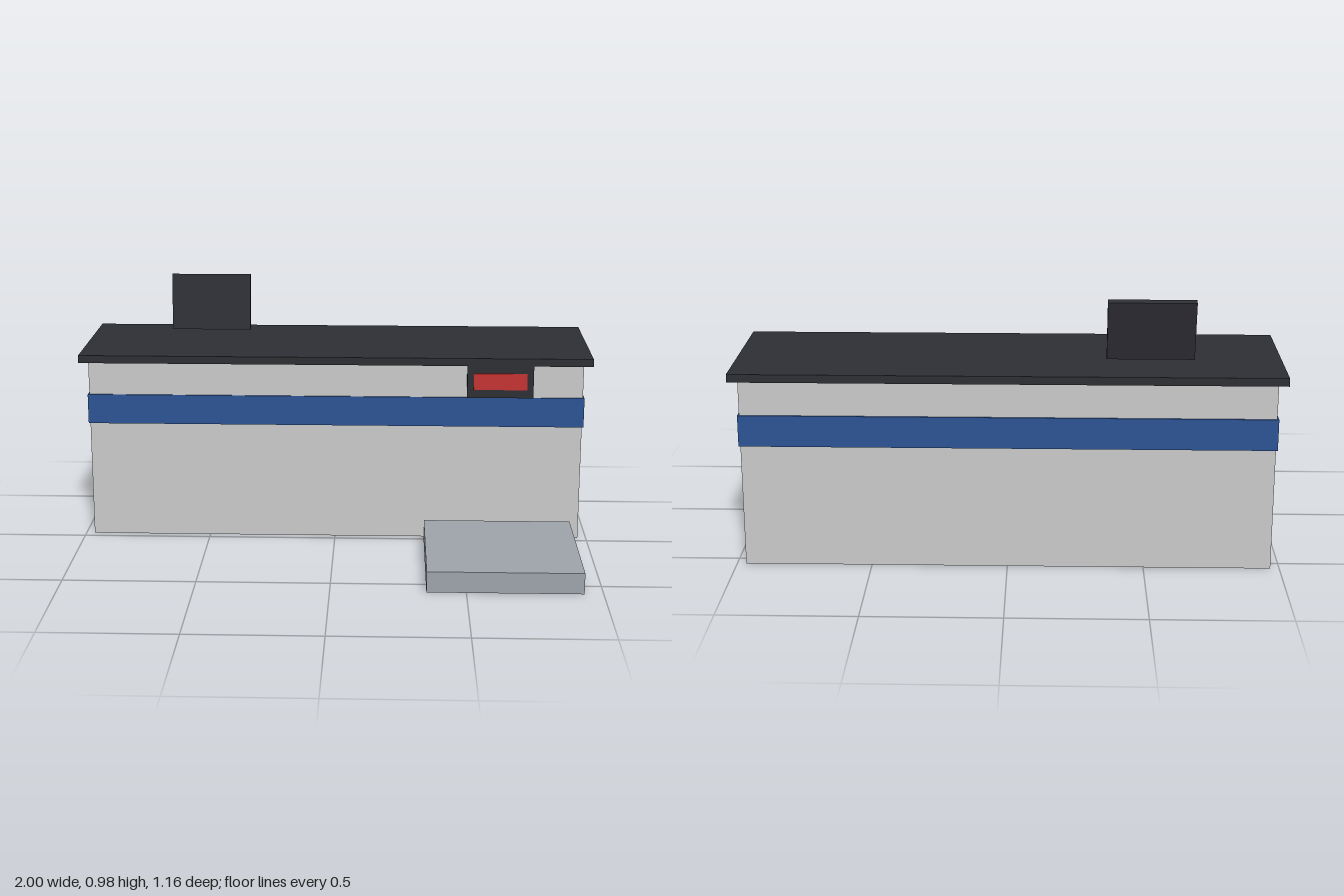
import * as THREE from 'three';

const material = (color) => new THREE.MeshStandardMaterial({ color });

// Box from its [min, max] range along each axis
function box(name, [x0, x1], [y0, y1], [z0, z1], mat) {
  const mesh = new THREE.Mesh(new THREE.BoxGeometry(x1 - x0, y1 - y0, z1 - z0), mat);
  mesh.name = name;
  mesh.position.set((x0 + x1) / 2, (y0 + y1) / 2, (z0 + z1) / 2);
  return mesh;
}

export function createModel() {
  const group = new THREE.Group();
  group.name = 'serviceCounter';

  const grey = material(0xcccccc);
  const dark = material(0x2d3035);
  const screenDark = material(0x2e2e36);
  const blue = material(0x2c5596);
  const red = material(0xc53434);
  const stepGrey = material(0xa0a5ad);

  // Cabinet, stripe wrapped around it, and overhanging worktop
  group.add(
    box('cabinet', [-0.967, 0.967], [0, 0.71], [-0.547, -0.032], grey),
    box('stripe', [-0.973, 0.973], [0.46, 0.577], [-0.553, -0.026], blue),
    box('worktop', [-1, 1], [0.71, 0.74], [-0.58, 0], dark),
  );

  // Small display under the front edge of the worktop
  group.add(
    box('displayHousing', [0.515, 0.772], [0.582, 0.71], [-0.032, -0.004], dark),
    box('displayPanel', [0.54, 0.747], [0.615, 0.68], [-0.008, 0.001], red),
  );

  // Low platform on the floor in front
  group.add(box('platform', [0.354, 0.93], [0, 0.08], [0.002, 0.58], stepGrey));

  // Monitor leaning back above the worktop
  const monitor = box('monitor', [-0.677, -0.358], [0.758, 0.984], [-0.433, -0.404], screenDark);
  monitor.rotation.x = -0.2;
  group.add(monitor);

  return group;
}
